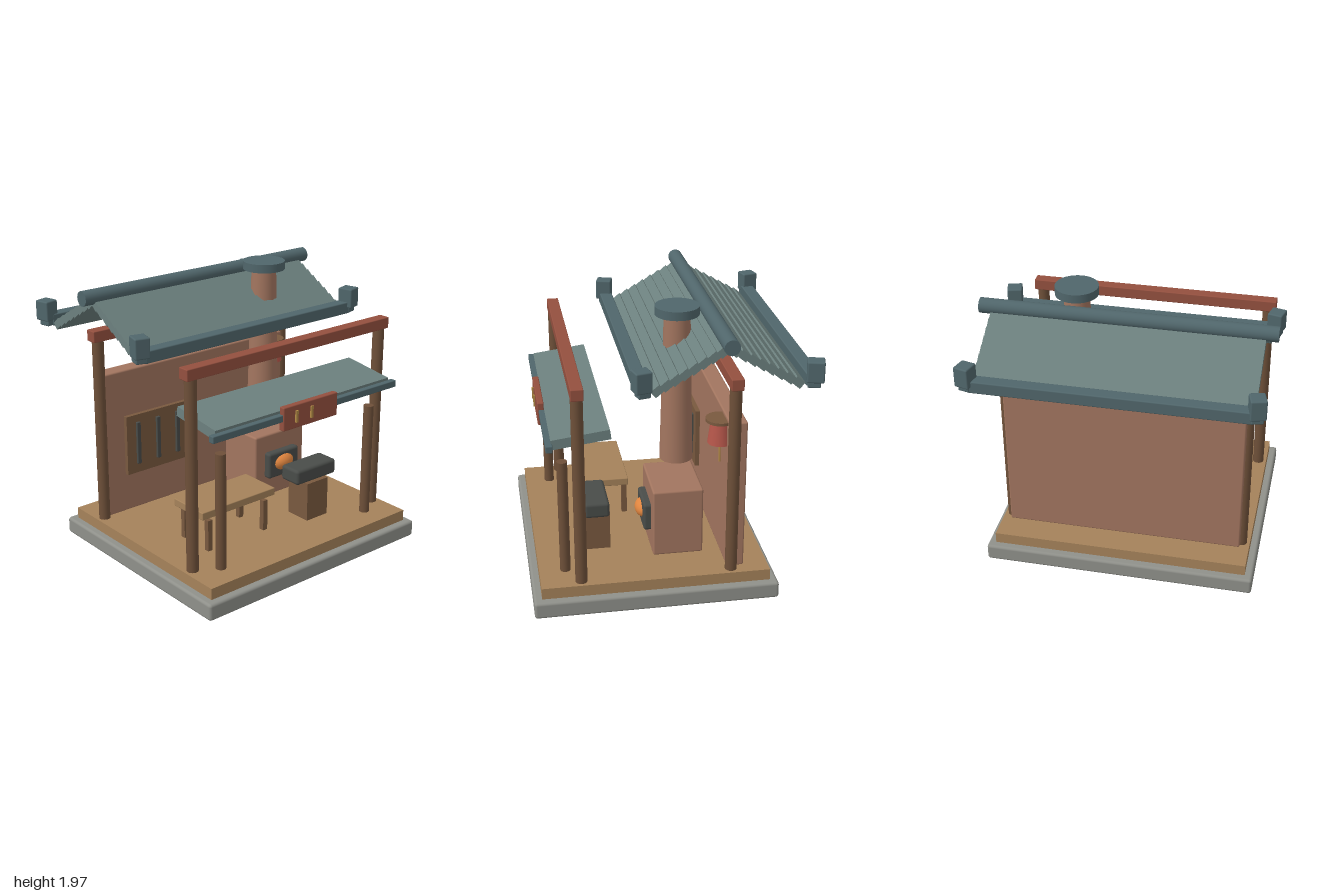
import * as THREE from 'three';
import { RoundedBoxGeometry } from 'three/addons/geometries/RoundedBoxGeometry.js';

const COLORS = {
  stone: 0x8f908a, plank: 0xa5825a, post: 0x6e5039, beam: 0x94503f, clay: 0xa2755f,
  tile: 0x6c807e, ridge: 0x50666b, darkWood: 0x79593f, iron: 0x494c49,
  lantern: 0xb5564a, fire: 0xe0853f, gold: 0xb38a45,
};
const mats = {};
for (const k in COLORS) mats[k] = new THREE.MeshStandardMaterial({ color: COLORS[k] });

export function createModel() {
  const model = new THREE.Group();
  model.name = 'forgeHut';

  const add = (name, geo, mat, x, y, z, parent = model) => {
    const m = new THREE.Mesh(geo, mats[mat]);
    m.name = name;
    m.position.set(x, y, z);
    parent.add(m);
    return m;
  };
  // Box from its extents; r > 0 rounds the edges
  const box = (name, mat, [x0, x1], [y0, y1], [z0, z1], r = 0) => {
    const s = [x1 - x0, y1 - y0, z1 - z0];
    const geo = r ? new RoundedBoxGeometry(...s, 2, r) : new THREE.BoxGeometry(...s);
    return add(name, geo, mat, (x0 + x1) / 2, (y0 + y1) / 2, (z0 + z1) / 2);
  };
  // Upright cylinder from y0 to y1
  const rod = (name, mat, x, z, y0, y1, r0, r1 = r0, seg = 20) =>
    add(name, new THREE.CylinderGeometry(r1, r0, y1 - y0, seg), mat, x, (y0 + y1) / 2, z);

  // Base and floor
  box('baseSlab', 'stone', [-0.96, 0.96], [0.005, 0.125], [-0.715, 0.96], 0.02);
  box('floor', 'plank', [-0.905, 0.905], [0.125, 0.205], [-0.66, 0.905]);

  // Main posts with cross beams, and short front posts
  for (const z of [0.632, -0.396]) {
    for (const s of [-1, 1]) rod('post', 'post', s * 0.843, z, 0.15, 1.56, 0.041);
    box('crossBeam', 'beam', [-0.9, 0.9], [1.545, 1.625], [z - 0.042, z + 0.042], 0.006);
  }
  for (const s of [-1, 1]) rod('shortPost', 'post', s * 0.678, 0.725, 0.15, 1.03, 0.036);

  // Back wall with barred panel
  box('backWall', 'clay', [-0.84, 0.84], [0.22, 1.295], [-0.485, -0.365], 0.012);
  box('wallPanel', 'darkWood', [-0.67, -0.13], [0.51, 0.955], [-0.37, -0.333]);
  for (const x of [-0.575, -0.4, -0.225])
    box('panelBar', 'iron', [x - 0.016, x + 0.016], [0.58, 0.9], [-0.34, -0.315], 0.005);

  // Bench
  box('benchSeat', 'plank', [-0.655, -0.005], [0.458, 0.513], [0.19, 0.505], 0.006);
  for (const x of [-0.58, -0.083])
    for (const z of [0.213, 0.475])
      box('benchLeg', 'darkWood', [x - 0.019, x + 0.019], [0.2, 0.433], [z - 0.019, z + 0.019]);

  // Work block with iron top
  box('workBlock', 'darkWood', [0.24, 0.438], [0.2, 0.492], [0.383, 0.58]);
  box('anvil', 'iron', [0.152, 0.528], [0.497, 0.608], [0.393, 0.568], 0.022);

  // Furnace, its mouth and the fire
  box('furnace', 'clay', [0.16, 0.63], [0.225, 0.715], [-0.242, 0.108], 0.014);
  box('furnaceMouth', 'iron', [0.25, 0.542], [0.378, 0.578], [0.08, 0.16], 0.02);
  add('fire', new THREE.SphereGeometry(1, 24, 16), 'fire', 0.395, 0.488, 0.135).scale.set(0.097, 0.066, 0.066);

  // Chimney and cap
  rod('chimney', 'clay', 0.395, -0.09, 0.865, 1.93, 0.115, 0.088, 32);
  rod('chimneyCap', 'ridge', 0.395, -0.09, 1.91, 1.97, 0.15, 0.15, 32);

  // Hanging lantern
  const lx = 0.687, lz = -0.333;
  rod('lanternTop', 'darkWood', lx, lz, 1.253, 1.273, 0.1);
  rod('lanternShade', 'lantern', lx, lz, 1.096, 1.24, 0.085, 0.066);
  rod('lanternCord', 'gold', lx, lz, 0.95, 1.26, 0.007, 0.007, 8);

  // Front awning with edge bar and sign
  add('awning', new THREE.BoxGeometry(1.565, 0.068, 0.39), 'tile', 0, 1.225, 0.603).rotation.x = 0.13;
  box('awningEdge', 'ridge', [-0.828, 0.828], [1.165, 1.214], [0.79, 0.836], 0.006);
  box('sign', 'beam', [-0.245, 0.242], [1.1, 1.265], [0.8, 0.845], 0.008);
  for (const x of [-0.135, 0])
    box('signStrip', 'gold', [x - 0.01, x + 0.01], [1.143, 1.226], [0.83, 0.857]);

  // Roof: ridge pole, stepped tile rows, eaves and corner ends on both slopes
  const roof = new THREE.Group();
  roof.name = 'roof';
  roof.position.z = -0.328;
  model.add(roof);
  add('ridgePole', new THREE.CylinderGeometry(0.052, 0.052, 2, 24), 'ridge', 0, 1.88, 0, roof).rotation.z = Math.PI / 2;
  const tileGeo = new THREE.BoxGeometry(1.84, 0.055, 0.072);
  const eaveGeo = new RoundedBoxGeometry(1.84, 0.085, 0.09, 2, 0.008);
  const endGeo = new RoundedBoxGeometry(0.105, 0.142, 0.112, 2, 0.01);
  const endFootGeo = new RoundedBoxGeometry(0.08, 0.12, 0.085, 2, 0.008);
  for (const s of [-1, 1]) {
    for (let i = 0; i < 8; i++)
      add('tileRow', tileGeo, 'tile', 0, 1.826 - 0.034 * i, s * (0.036 + 0.06 * i), roof).rotation.x = s * 0.7;
    add('eave', eaveGeo, 'ridge', 0, 1.603, s * 0.552, roof);
    for (const side of [-1, 1]) {
      const end = new THREE.Group();
      end.name = 'eaveEnd';
      end.position.set(side * 0.937, 0, s * 0.56);
      end.rotation.y = side * s * 0.25;
      add('eaveEndBlock', endGeo, 'ridge', 0, 1.673, 0, end);
      add('eaveEndFoot', endFootGeo, 'ridge', 0, 1.625, -s * 0.008, end);
      roof.add(end);
    }
  }
  return model;
}
